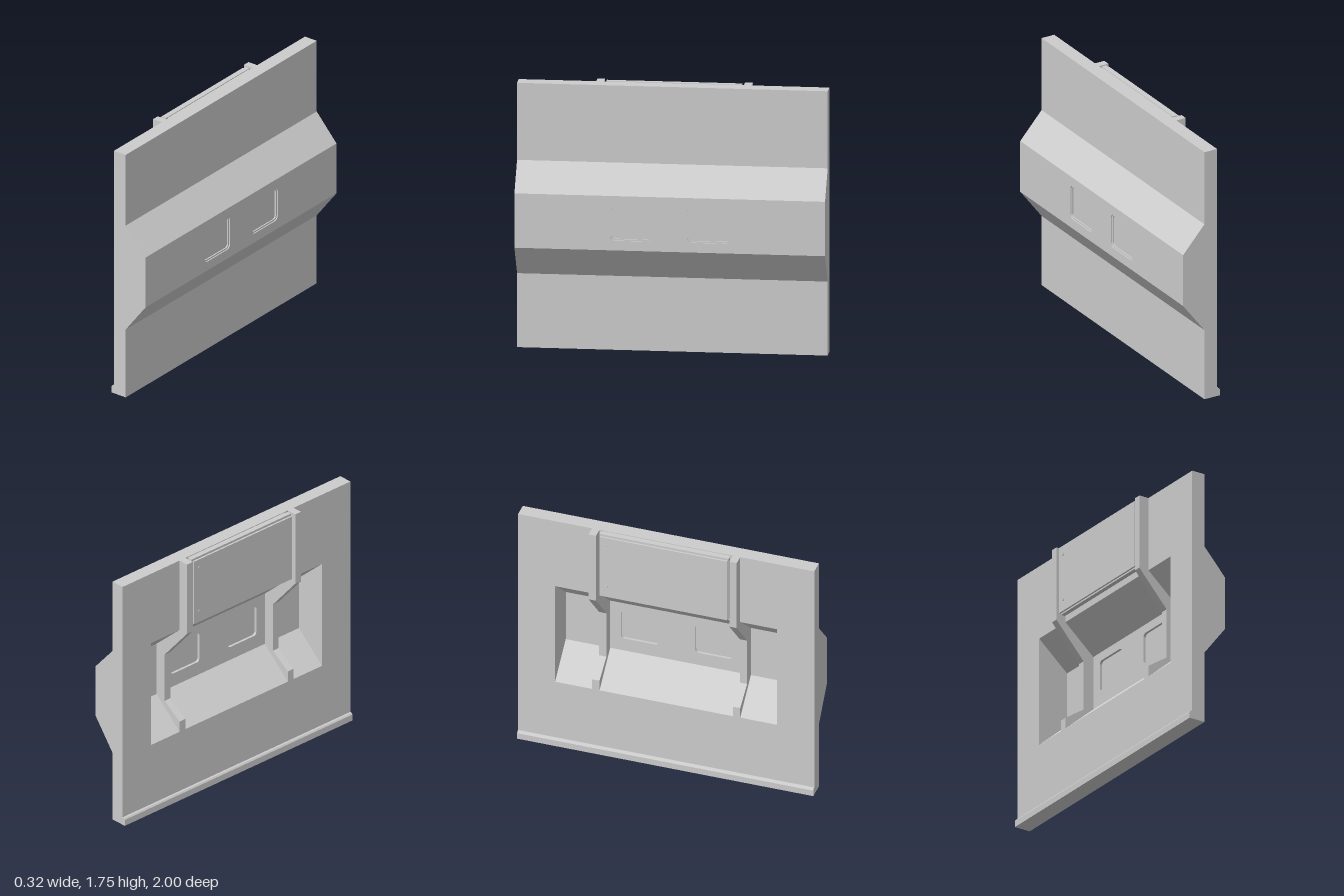
import * as THREE from 'three';

const material = new THREE.MeshStandardMaterial({ color: 0xcccccc });

export function createModel() {
  const model = new THREE.Group();
  model.name = 'wallPanel';

  const add = (name, geometry) => {
    const mesh = new THREE.Mesh(geometry, material);
    mesh.name = name;
    model.add(mesh);
    return mesh;
  };

  // Cross-section in x/y swept between two z positions
  const sweep = (name, points, z0, z1) => {
    const shape = new THREE.Shape(points.map(([x, y]) => new THREE.Vector2(x, y)));
    const geometry = new THREE.ExtrudeGeometry(shape, { depth: z1 - z0, bevelEnabled: false });
    return add(name, geometry.translate(0, 0, z0));
  };

  // Outline in z/y given thickness from x0 to x1
  const plate = (name, shape, x0, x1) => {
    const geometry = new THREE.ExtrudeGeometry(shape, {
      depth: x1 - x0, bevelEnabled: false, curveSegments: 5,
    });
    return add(name, geometry.rotateY(Math.PI / 2).translate(x0, 0, 0));
  };

  const roundedRect = (target, cx, cy, w, h, r) => {
    const x = cx - w / 2, y = cy - h / 2;
    target.moveTo(x + r, y);
    target.lineTo(x + w - r, y);
    target.absarc(x + w - r, y + r, r, -Math.PI / 2, 0);
    target.lineTo(x + w, y + h - r);
    target.absarc(x + w - r, y + h - r, r, 0, Math.PI / 2);
    target.lineTo(x + r, y + h);
    target.absarc(x + r, y + h - r, r, Math.PI / 2, Math.PI);
    target.lineTo(x, y + r);
    target.absarc(x + r, y + r, r, Math.PI, Math.PI * 1.5);
    return target;
  };

  const back = -0.095, top = 1.75, inner = 0.12, niche = 0.75;
  const foot = [[back, 0.055], [-0.108, 0.052], [-0.115, 0.043], [-0.115, 0]];

  // Solid wall ends either side of the niche
  const endProfile = [[0, 0], [0, 0.49], [0.16, 0.70], [0.16, 1.06], [0, 1.24],
    [0, top], [back, top], ...foot];
  sweep('wallEndFront', endProfile, niche, 1);
  sweep('wallEndBack', endProfile, -1, -niche);

  // Hollow wall middle, below and above the windows
  sweep('lowerWall', [[0, 0], [0, 0.49], [0.16, 0.70], [inner, 0.70], [inner, 0.68],
    [back, 0.49], ...foot], -niche, niche);
  sweep('upperWall', [[0, top], [back, top], [back, 1.24], [inner, 1.05], [inner, 1.06],
    [0.16, 1.06], [0, 1.24]], -niche, niche);

  // Window wall with two rounded openings
  const windowWall = new THREE.Shape([
    new THREE.Vector2(-niche, 0.70), new THREE.Vector2(niche, 0.70),
    new THREE.Vector2(niche, 1.06), new THREE.Vector2(-niche, 1.06),
  ]);
  const windowY = 0.882;
  for (const z of [-0.25, 0.25]) {
    windowWall.holes.push(roundedRect(new THREE.Path(), z, windowY, 0.27, 0.236, 0.03));
    // Stepped frame and pane
    const frame = roundedRect(new THREE.Shape(), z, windowY, 0.27, 0.236, 0.03);
    frame.holes.push(roundedRect(new THREE.Path(), z, windowY, 0.25, 0.216, 0.022));
    plate('windowFrame', frame, inner, 0.152);
    plate('windowPane', roundedRect(new THREE.Shape(), z, windowY, 0.255, 0.221, 0.024), 0.137, 0.143);
  }
  plate('windowWall', windowWall, inner, 0.16);

  // Ribs that run down the back and follow the niche
  const ribProfile = [[-0.165, top], [-0.165, 1.24], [0.045, 1.0], [0.045, 0.66], [back, 0.565],
    [back, 0.49], [inner, 0.68], [inner, 1.05], [back, 1.24], [back, top]];
  for (const z of [-0.475, 0.475]) sweep('rib', ribProfile, z - 0.025, z + 0.025);

  // Equipment box between the ribs: neck, body and cover
  const box = (name, x0, x1, y0, y1, halfZ) =>
    add(name, new THREE.BoxGeometry(x1 - x0, y1 - y0, halfZ * 2)
      .translate((x0 + x1) / 2, (y0 + y1) / 2, 0));
  box('boxNeck', -0.112, back, 1.285, 1.745, 0.425);
  box('boxBody', -0.138, -0.108, 1.275, 1.75, 0.437);
  box('boxSeam', -0.145, -0.138, 1.29, 1.735, 0.42);
  box('boxCover', -0.157, -0.145, 1.28, 1.74, 0.43);

  // Cover screws
  for (const y of [1.36, 1.68]) {
    add('coverScrew', new THREE.CylinderGeometry(0.012, 0.012, 0.006, 12)
      .rotateZ(Math.PI / 2).translate(-0.158, y, -0.385));
  }

  return model;
}
